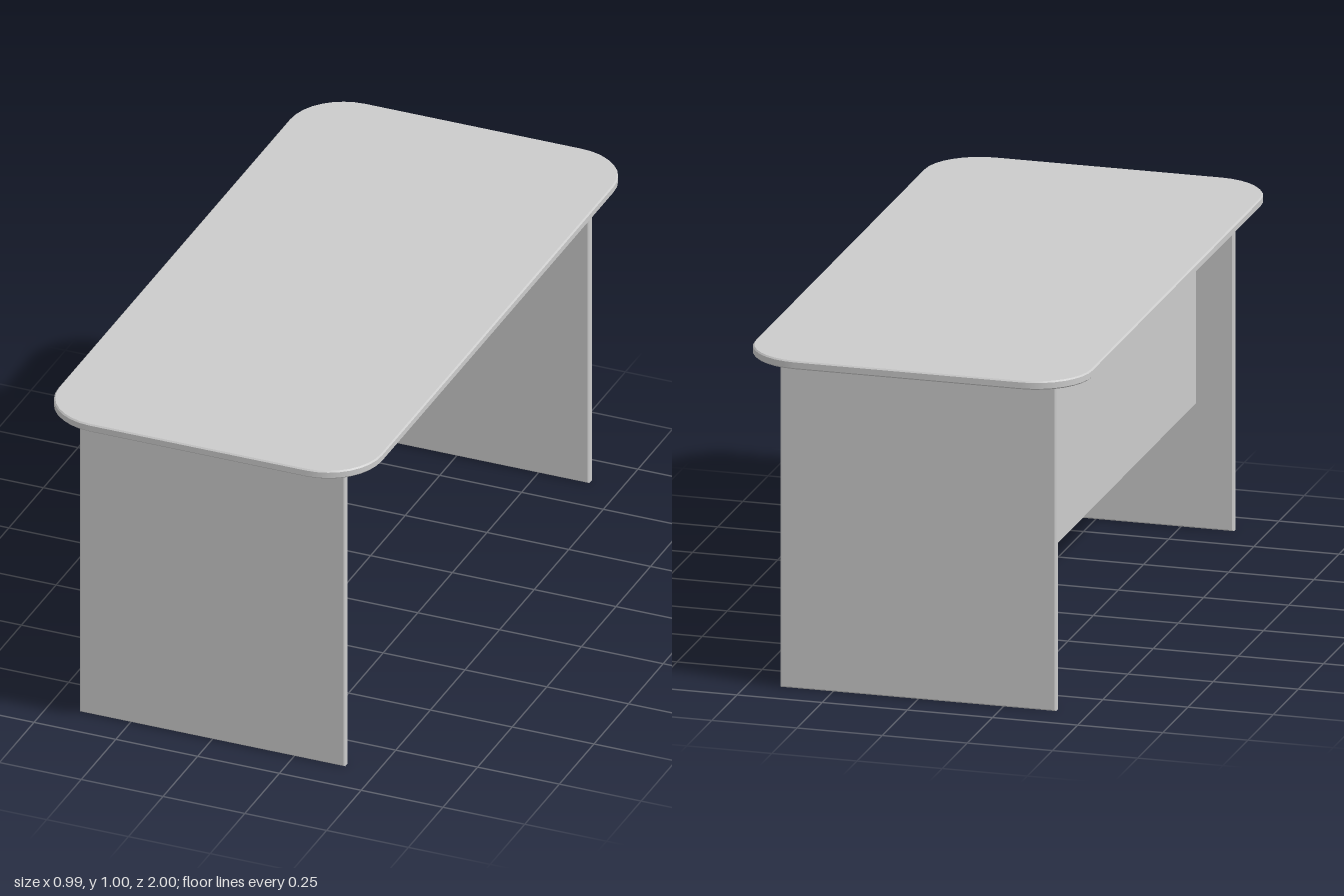
import * as THREE from 'three';
import { toCreasedNormals } from 'three/addons/utils/BufferGeometryUtils.js';

const material = new THREE.MeshStandardMaterial({ color: 0xcccccc });
const BEVEL = 0.004;

// Board of w x h with rounded corners, centred on its thickness along z, edges slightly bevelled
function board(name, w, h, thickness, radius) {
  const x = w / 2 - BEVEL, y = h / 2 - BEVEL, r = radius;
  const shape = new THREE.Shape();
  if (r > 0) {
    shape.moveTo(-x + r, -y);
    shape.absarc(x - r, -y + r, r, -Math.PI / 2, 0);
    shape.absarc(x - r, y - r, r, 0, Math.PI / 2);
    shape.absarc(-x + r, y - r, r, Math.PI / 2, Math.PI);
    shape.absarc(-x + r, -y + r, r, Math.PI, Math.PI * 1.5);
  } else {
    shape.moveTo(-x, -y).lineTo(x, -y).lineTo(x, y).lineTo(-x, y);
  }
  shape.closePath();
  const depth = thickness - 2 * BEVEL;
  const geometry = new THREE.ExtrudeGeometry(shape, {
    depth, curveSegments: 4,
    bevelEnabled: true, bevelSegments: 1, bevelSize: BEVEL, bevelThickness: BEVEL,
  });
  geometry.translate(0, 0, -depth / 2);
  const mesh = new THREE.Mesh(toCreasedNormals(geometry, Math.PI / 6), material);
  mesh.name = name;
  return mesh;
}

export function createModel() {
  const desk = new THREE.Group();
  desk.name = 'desk';

  // Rounded tabletop
  const top = board('tabletop', 0.99, 2, 0.025, 0.16);
  top.rotation.x = -Math.PI / 2;
  top.position.y = 0.9875;
  desk.add(top);

  // End panels that serve as legs
  for (const side of [1, -1]) {
    const leg = board(side > 0 ? 'frontEndPanel' : 'backEndPanel', 0.81, 0.975, 0.026, 0);
    leg.position.set(0, 0.4875, side * 0.882);
    desk.add(leg);
  }

  // Modesty panel between the end panels
  const panel = new THREE.Mesh(new THREE.BoxGeometry(0.025, 0.605, 1.738), material);
  panel.name = 'modestyPanel';
  panel.position.set(-0.283, 0.6725, 0);
  desk.add(panel);

  return desk;
}
